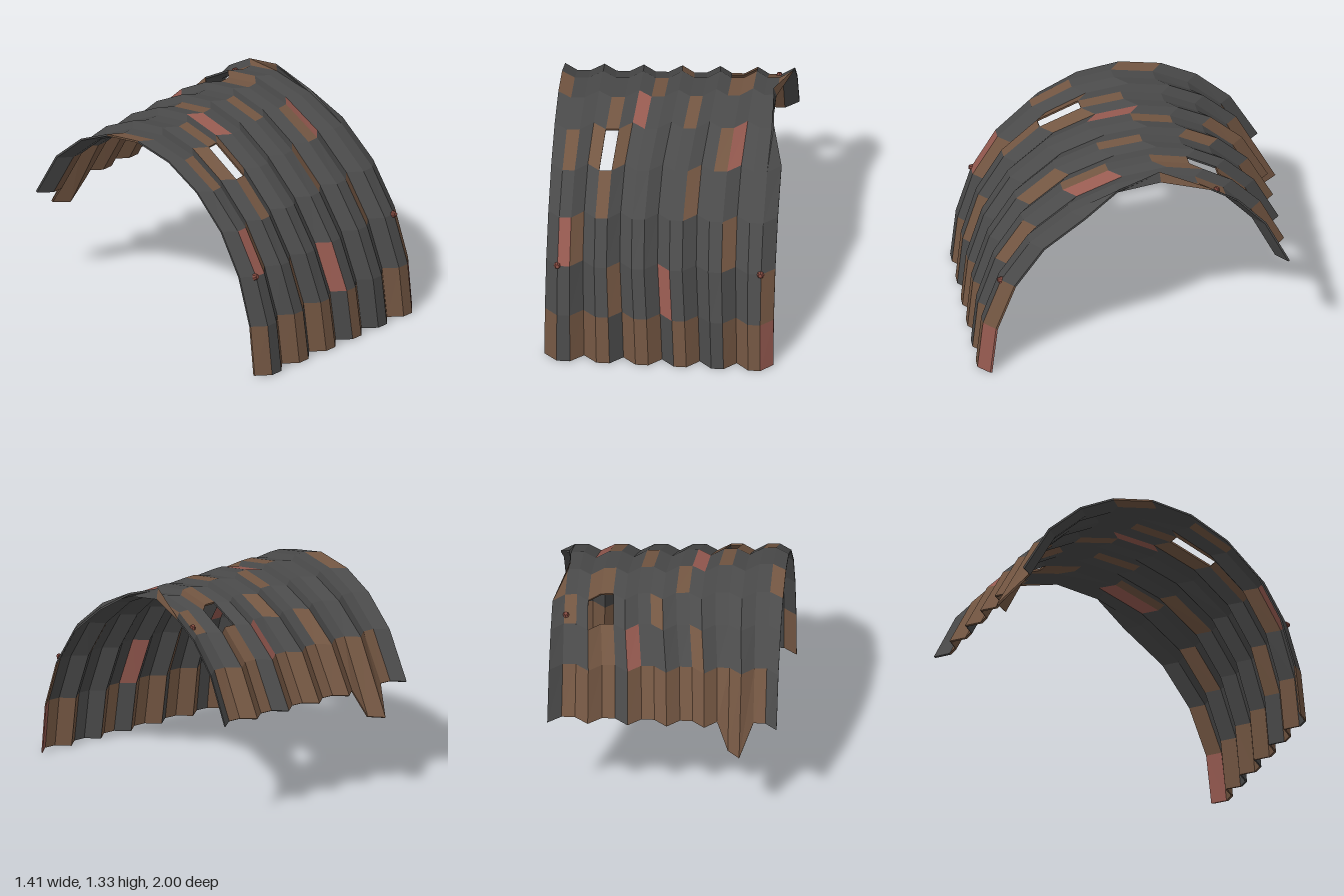
import * as THREE from 'three';

const COLS = 18, ROWS = 10, HALF = 0.705, THICK = 0.012, DEPTH = 0.07;

// One entry per row line, from the front foot over the top to the back edge
const height = [0, 0.32, 0.625, 0.885, 1.09, 1.222, 1.275, 1.24, 1.14, 0.957, 0.665];
const ridgeZ = [1, 0.965, 0.872, 0.722, 0.515, 0.275, 0.015, -0.245, -0.465, -0.675, -0.845];
const shear = [0, 0, 0.02, 0.05, 0.1, 0.15, 0.16, 0.125, 0.075, 0.035, 0.01];
const sway = [0.02, 0.005, -0.02, -0.03, -0.022, 0.008, 0.028, 0.033, 0.015, -0.015, -0.028];

// Bent vertices, keyed "column,row"
const bent = {
  '18,5': [0.64, 1.235, 0.13],
  '18,6': [0.615, 1.33, -0.13],
  '3,10': [-0.48, 0.5, -0.995],
  '4,10': [-0.405, 0.5, -0.915],
};

// Columns of each colour, per row; the rest is bare steel
const rust = [
  [0, 2, 3, 4, 6, 7, 8, 10, 11, 14, 15, 16], [5, 17], [2, 14], [4, 11], [1, 3, 5, 13],
  [4, 10], [0, 7, 13, 14, 17], [9, 16], [6, 13, 14],
  [1, 2, 3, 4, 5, 6, 7, 8, 9, 10, 11, 13, 14, 15, 16],
];
const deepRust = [[17], [9], [1], [], [14], [6], [], [], [11], []];
const holes = [[], [], [], [], [4], [], [], [13, 14], [], []];

function outerPoint(c, r) {
  const b = bent[`${c},${r}`];
  if (b) return new THREE.Vector3(...b);
  const u = c / COLS;
  const x = -HALF + 2 * HALF * u + sway[r] * Math.sin(Math.PI * u);
  const z = ridgeZ[r] - shear[r] * u - (c % 3 === 0 ? DEPTH : 0);
  return new THREE.Vector3(x, height[r], z);
}

function innerPoint(c, r) {
  const a = r * 0.258;
  const p = outerPoint(c, r);
  p.z -= THICK * Math.cos(a);
  // keep the feet level with the ground
  if (r > 0) p.y -= THICK * Math.sin(a);
  return p;
}

const solid = (c, r) => c >= 0 && c < COLS && r >= 0 && r < ROWS && !holes[r].includes(c);

// Sheet cells of one colour, with inner face and rims at open edges
function cellsGeometry(belongs) {
  const pos = [];
  const quad = (a, b, c, d) => [a, b, c, a, c, d].forEach((p) => pos.push(p.x, p.y, p.z));
  for (let r = 0; r < ROWS; r++) {
    for (let c = 0; c < COLS; c++) {
      if (!solid(c, r) || !belongs(c, r)) continue;
      const corners = [[c, r], [c + 1, r], [c + 1, r + 1], [c, r + 1]];
      const o = corners.map((k) => outerPoint(...k));
      const i = corners.map((k) => innerPoint(...k));
      quad(...o);
      quad(i[0], i[3], i[2], i[1]);
      [[0, -1], [1, 0], [0, 1], [-1, 0]].forEach(([dc, dr], e) => {
        const f = (e + 1) % 4;
        if (!solid(c + dc, r + dr)) quad(o[e], i[e], i[f], o[f]);
      });
    }
  }
  const g = new THREE.BufferGeometry();
  g.setAttribute('position', new THREE.Float32BufferAttribute(pos, 3));
  g.computeVertexNormals();
  return g;
}

function makeMaterial(name, color) {
  const m = new THREE.MeshStandardMaterial({ color, flatShading: true, side: THREE.DoubleSide });
  m.name = name;
  return m;
}

export function createModel() {
  const model = new THREE.Group();
  model.name = 'corrugatedArch';
  const steel = makeMaterial('darkSteel', 0x4a4a4a);
  const brown = makeMaterial('brownRust', 0x735642);
  const red = makeMaterial('redRust', 0x965a50);
  const boltRed = makeMaterial('boltRust', 0x844a40);

  const add = (name, geometry, material) => {
    const mesh = new THREE.Mesh(geometry, material);
    mesh.name = name;
    model.add(mesh);
    return mesh;
  };

  // Corrugated sheet, split by colour
  const isRust = (c, r) => rust[r].includes(c);
  const isDeep = (c, r) => deepRust[r].includes(c);
  add('steelSheet', cellsGeometry((c, r) => !isRust(c, r) && !isDeep(c, r)), steel);
  add('rustPatches', cellsGeometry(isRust), brown);
  add('deepRustPatches', cellsGeometry(isDeep), red);

  // Domed bolts: position and outward direction
  const boltGeometry = new THREE.CylinderGeometry(0.012, 0.024, 0.024, 8);
  const up = new THREE.Vector3(0, 1, 0);
  [
    [[-0.63, 0.625, 0.872], [0, 0.3, 1]],
    [[0.62, 0.625, 0.862], [0, 0.3, 1]],
    [[0.62, 1.175, -0.485], [0, 1, -0.5]],
  ].forEach(([p, n]) => {
    const bolt = add('bolt', boltGeometry, boltRed);
    bolt.position.set(...p);
    bolt.quaternion.setFromUnitVectors(up, new THREE.Vector3(...n).normalize());
  });
  return model;
}
